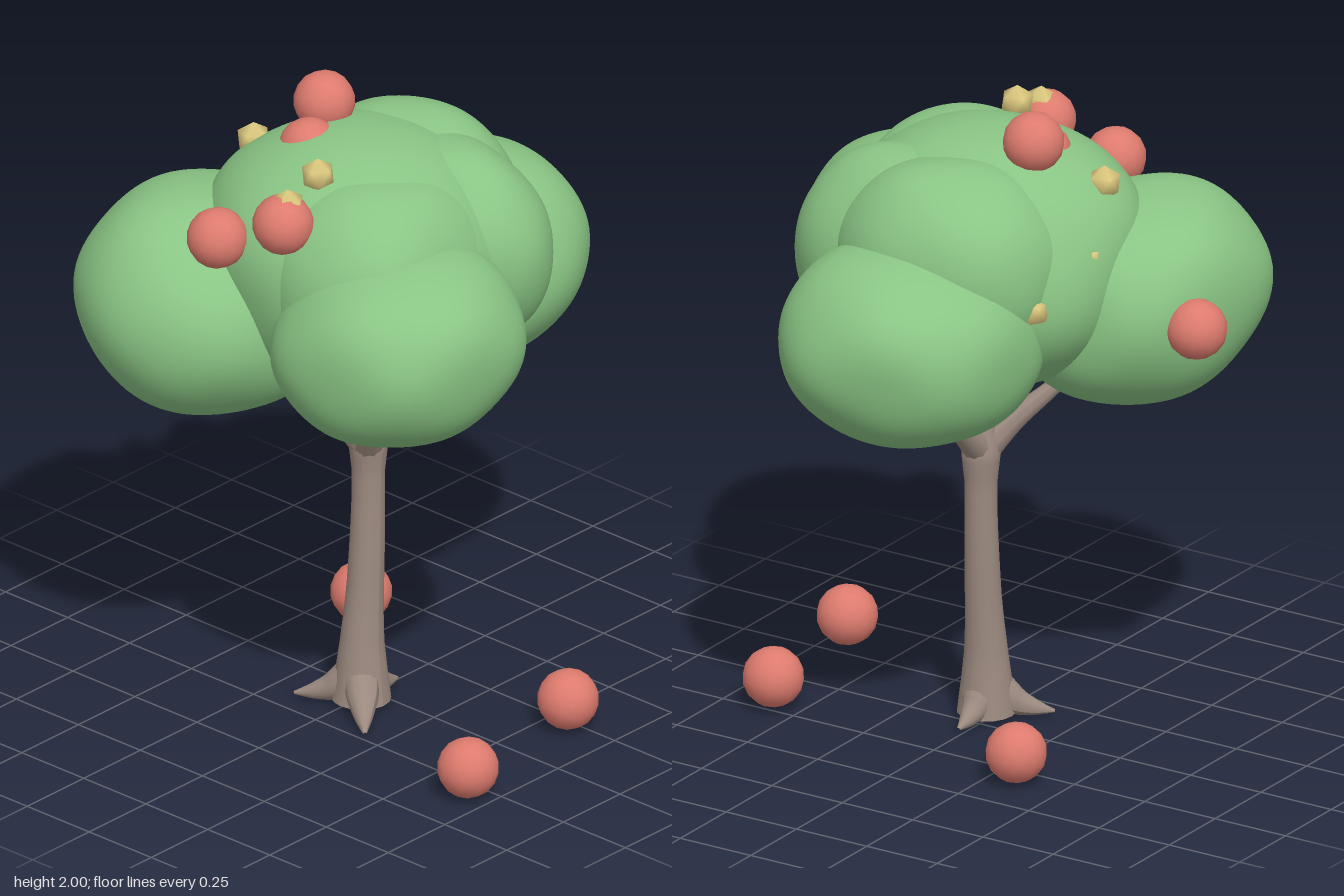
import * as THREE from 'three';
import { mergeVertices } from 'three/addons/utils/BufferGeometryUtils.js';

const V = (p) => new THREE.Vector3(...p);

// Tube along a smooth path whose radius follows evenly spaced values
function taperedTube(points, radii, segments = 20, sides = 12) {
  const curve = new THREE.CatmullRomCurve3(points.map(V));
  const geo = new THREE.TubeGeometry(curve, segments, 1, sides);
  const pos = geo.attributes.position;
  const v = new THREE.Vector3();
  for (let i = 0; i <= segments; i++) {
    const t = i / segments;
    const centre = curve.getPointAt(t);
    const f = t * (radii.length - 1);
    const k = Math.min(Math.floor(f), radii.length - 2);
    const r = THREE.MathUtils.lerp(radii[k], radii[k + 1], f - k);
    for (let j = 0; j <= sides; j++) {
      const n = i * (sides + 1) + j;
      v.fromBufferAttribute(pos, n).sub(centre).multiplyScalar(r).add(centre);
      pos.setXYZ(n, v.x, v.y, v.z);
    }
  }
  geo.computeVertexNormals();
  return geo;
}

// Icosahedron with shared corners, so that it shades smoothly
function smoothBall(radius, detail) {
  const geo = new THREE.IcosahedronGeometry(radius, detail);
  geo.deleteAttribute('uv');
  geo.deleteAttribute('normal');
  const merged = mergeVertices(geo, 1e-4);
  merged.computeVertexNormals();
  return merged;
}

// Lumpy ellipsoid; e above 2 makes it boxier, lean shifts its top along x and z
function leafBlob([rx, ry, rz], e, [leanX, leanZ], seed) {
  const geo = smoothBall(1, 14);
  const pos = geo.attributes.position;
  const v = new THREE.Vector3();
  for (let i = 0; i < pos.count; i++) {
    v.fromBufferAttribute(pos, i).normalize();
    const boxy = Math.pow(Math.abs(v.x) ** e + Math.abs(v.y) ** e + Math.abs(v.z) ** e, -1 / e);
    const lump = Math.sin(v.x * 4 + seed) * Math.sin(v.y * 4 + seed * 2.1) * Math.sin(v.z * 4 + seed * 1.3 + 1);
    const s = boxy * (1 + 0.03 * lump);
    const y = v.y * s * ry;
    pos.setXYZ(i, v.x * s * rx + leanX * y, y, v.z * s * rz + leanZ * y);
  }
  geo.computeVertexNormals();
  return geo;
}

export function createModel() {
  const model = new THREE.Group();
  const mat = (name, color) => {
    const m = new THREE.MeshStandardMaterial({ color });
    m.name = name;
    return m;
  };
  const bark = mat('bark brown', 0x9c8a80);
  const leaf = mat('leaf green', 0x8ac584);
  const red = mat('fruit red', 0xde7b6e);
  const yellow = mat('blossom yellow', 0xdfcb80);

  const add = (name, geo, material, at = [0, 0, 0]) => {
    const mesh = new THREE.Mesh(geo, material);
    mesh.name = name;
    mesh.position.set(...at);
    model.add(mesh);
    return mesh;
  };

  // Trunk, flared at the foot and at the fork
  add('trunk', taperedTube(
    [[-0.07, 0.015, 0.02], [-0.066, 0.2, 0.02], [-0.053, 0.4, 0.022], [-0.043, 0.6, 0.022], [-0.038, 0.8, 0.02], [-0.04, 0.95, 0.02]],
    [0.09, 0.078, 0.067, 0.06, 0.056, 0.054, 0.052, 0.05, 0.05, 0.06, 0.04], 40, 16), bark);
  const base = add('trunkBase', new THREE.CircleGeometry(0.09, 16), bark, [-0.07, 0.015, 0.02]);
  base.rotation.x = Math.PI / 2;

  // Three spreading roots, by the offset of their tips
  [[-0.17, 0.17], [-0.11, -0.17], [0.17, -0.01]].forEach(([dx, dz]) => {
    const at = (f, y) => [-0.07 + dx * f, y, 0.02 + dz * f];
    add('root', taperedTube([at(0.1, 0.1), at(0.38, 0.05), at(0.68, 0.026), at(1, 0.013)],
      [0.055, 0.048, 0.028, 0.005], 14, 12), bark);
  });

  // Branches reaching into the leaf masses
  const branches = [
    [[-0.04, 0.86, 0.02], [0.05, 0.94, 0.02], [0.18, 1.06, 0.02], [0.28, 1.16, 0.02]],
    [[-0.05, 0.86, 0.02], [-0.1, 0.94, -0.04], [-0.19, 1.06, -0.15], [-0.26, 1.16, -0.23]],
    [[-0.05, 0.86, 0.03], [-0.1, 0.95, 0.09], [-0.17, 1.09, 0.2], [-0.22, 1.2, 0.28]],
    [[-0.045, 0.86, 0.02], [-0.06, 1.0, 0.02], [-0.075, 1.12, 0.02], [-0.08, 1.25, 0.02]],
  ];
  branches.forEach((path, i) => add('branch', taperedTube(path,
    i === 3 ? [0.045, 0.04, 0.036, 0.034] : [0.05, 0.034, 0.024, 0.02], 14, 10), bark));

  // Leaf masses: centre, radii, boxiness, lean
  const blobs = [
    ['backLeaves', [-0.345, 1.35, -0.34], [0.415, 0.34, 0.37], 2.08, [0, -0.12]],
    ['frontLeaves', [-0.28, 1.395, 0.36], [0.37, 0.31, 0.37], 2.08, [0, 0.12]],
    ['sideLeaves', [0.36, 1.35, 0.01], [0.395, 0.315, 0.385], 2.12, [0.08, 0]],
    ['crownLeaves', [-0.07, 1.5, 0.01], [0.46, 0.395, 0.475], 2.15, [0, 0]],
    ['crownFrontLeaves', [-0.18, 1.53, 0.19], [0.35, 0.325, 0.31], 2.2, [0, 0]],
    ['upperLeaves', [0.185, 1.56, -0.02], [0.3, 0.31, 0.355], 2.15, [0, 0]],
    ['upperFrontLeaves', [0.15, 1.53, 0.15], [0.25, 0.325, 0.37], 2.12, [-0.08, 0]],
  ];
  blobs.forEach(([name, at, r, e, lean], i) => add(name, leafBlob(r, e, lean, 1.7 * i + 0.6), leaf, at));

  // Fruit on the ground and in the crown
  const fruit = smoothBall(0.093, 2);
  [
    [-0.315, 0.095, 0.675], [0.22, 0.095, 0.59], [0.33, 0.095, -0.345],
    [-0.003, 1.91, -0.19], [-0.13, 1.82, -0.135], [-0.535, 1.67, -0.135],
    [-0.475, 1.765, 0.075], [-0.14, 1.37, -0.68],
  ].forEach((at) => add('fruit', fruit, red, at));

  // Small blossoms, each standing on a corner
  const blossom = smoothBall(0.053, 0);
  blossom.rotateX(-1.0172);
  [
    [-0.322, 1.873, 0.075], [-0.46, 1.823, 0.08], [-0.13, 1.775, -0.36],
    [0.02, 1.595, -0.4], [0.23, 1.48, -0.34],
  ].forEach((at) => add('blossom', blossom, yellow, at));

  return model;
}
